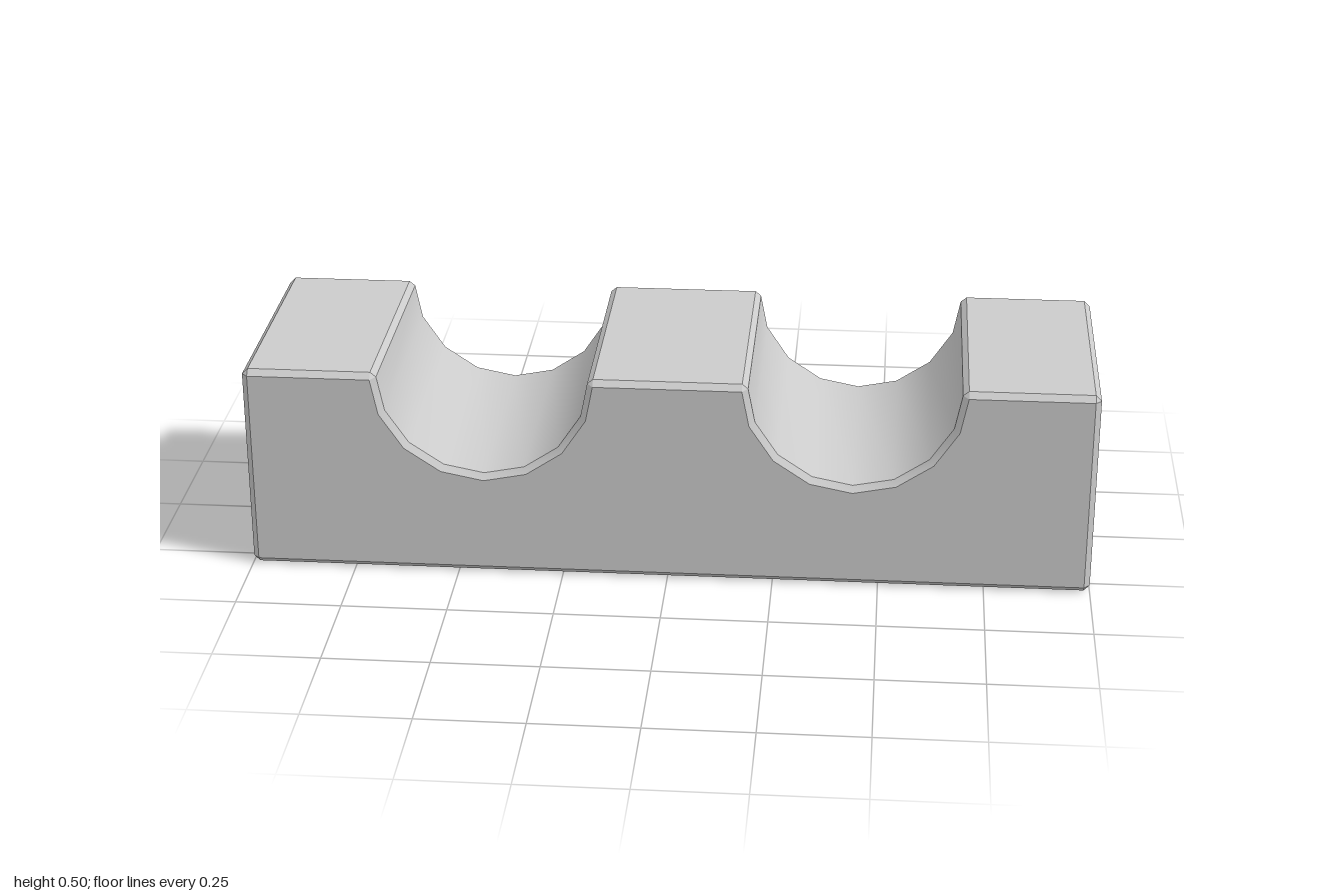
import * as THREE from 'three';
import { toCreasedNormals } from 'three/addons/utils/BufferGeometryUtils.js';

const HEIGHT = 0.505, DEPTH = 0.3, BEVEL = 0.014;
const GROOVE_X = 0.435, GROOVE_R = 0.25, GROOVE_STEPS = 8;

// Counter-clockwise outline; sharp corners get a chamfer, groove points stay smooth
function outline() {
  const pts = [];
  const add = (x, y, sharp = true) => pts.push({ p: new THREE.Vector2(x, y), sharp });
  add(-1, 0);
  add(1, 0);
  add(1, HEIGHT);
  for (const cx of [GROOVE_X, -GROOVE_X]) {
    for (let i = 0; i <= GROOVE_STEPS; i++) {
      const a = (i / GROOVE_STEPS) * Math.PI;
      add(cx + GROOVE_R * Math.cos(a), HEIGHT - GROOVE_R * Math.sin(a), i === 0 || i === GROOVE_STEPS);
    }
  }
  add(-1, HEIGHT);
  return pts;
}

// Block with every hard edge chamfered
function chamferedBlock() {
  const pts = outline(), n = pts.length;
  const normals = pts.map(({ p }, i) => {
    const d = pts[(i + 1) % n].p.clone().sub(p).normalize();
    return new THREE.Vector2(d.y, -d.x);
  });
  // face: inset point on the end face; before / after: points on the two adjoining sides
  const corners = pts.map(({ p, sharp }, i) => {
    const n1 = normals[(i + n - 1) % n], n2 = normals[i];
    const face = p.clone().addScaledVector(n1.clone().add(n2), -BEVEL / (1 + n1.dot(n2)));
    return {
      face, sharp,
      before: sharp ? face.clone().addScaledVector(n1, BEVEL) : p,
      after: sharp ? face.clone().addScaledVector(n2, BEVEL) : p,
    };
  });

  const positions = [];
  const tri = (...v) => v.forEach(([p, z]) => positions.push(p.x, p.y, z));
  const quad = (a, b, c, d) => { tri(a, b, c); tri(a, c, d); };
  const caps = THREE.ShapeUtils.triangulateShape(corners.map((c) => c.face), []);
  const inner = DEPTH - BEVEL;

  // End faces, their chamfers and the small corner triangles, front and back
  for (const s of [1, -1]) {
    const face = (...v) => tri(...(s > 0 ? v : v.reverse()));
    const end = (p) => [p, s * DEPTH], side = (p) => [p, s * inner];
    for (const t of caps) face(...t.map((k) => end(corners[k].face)));
    corners.forEach((c, i) => {
      const next = corners[(i + 1) % n];
      face(end(c.face), side(c.after), side(next.before));
      face(end(c.face), side(next.before), end(next.face));
      if (c.sharp) face(end(c.face), side(c.before), side(c.after));
    });
  }

  // Long walls, groove surfaces and lengthwise chamfers
  corners.forEach((c, i) => {
    const next = corners[(i + 1) % n];
    quad([c.after, inner], [c.after, -inner], [next.before, -inner], [next.before, inner]);
    if (c.sharp) quad([c.before, inner], [c.before, -inner], [c.after, -inner], [c.after, inner]);
  });

  const geometry = new THREE.BufferGeometry();
  geometry.setAttribute('position', new THREE.Float32BufferAttribute(positions, 3));
  return toCreasedNormals(geometry, THREE.MathUtils.degToRad(30));
}

export function createModel() {
  const group = new THREE.Group();
  group.name = 'cradleBlock';
  const block = new THREE.Mesh(chamferedBlock(), new THREE.MeshStandardMaterial({ color: 0xcccccc }));
  block.name = 'groovedBlock';
  group.add(block);
  return group;
}
